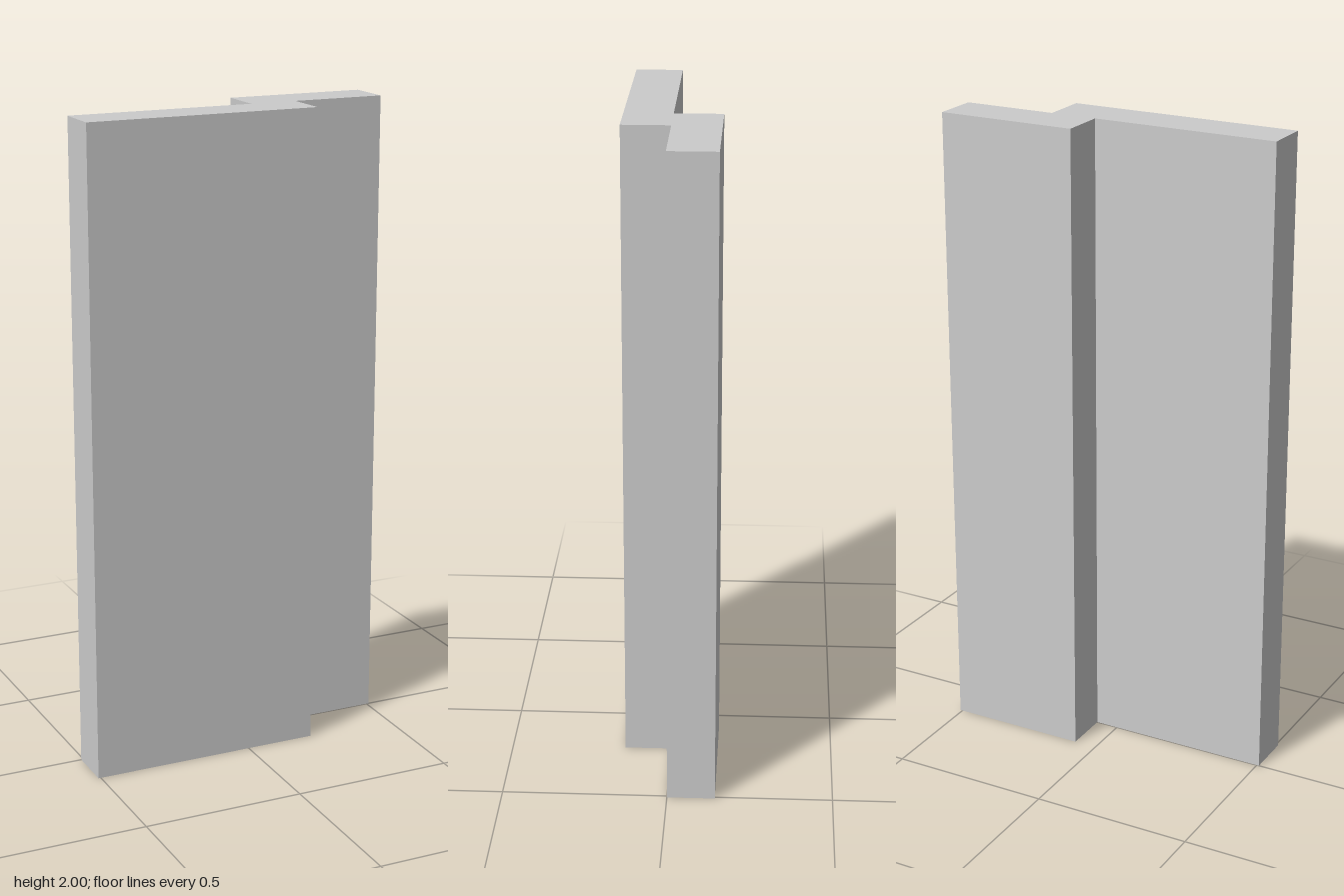
import * as THREE from 'three';

const HEIGHT = 2;
const T = 0.145; // panel thickness, also the module of the plan

export function createModel() {
  const group = new THREE.Group();
  group.name = 'steppedPanel';

  // Stepped plan outline in multiples of the thickness: (x, -z), counter-clockwise
  const outline = [
    [-3.5, -1], [1.5, -1], [1.5, 0], [3.5, 0],
    [3.5, 1], [0.5, 1], [0.5, 0], [-3.5, 0],
  ].map(([x, y]) => new THREE.Vector2(x * T, y * T));

  // Raise the plan to full height
  const geometry = new THREE.ExtrudeGeometry(new THREE.Shape(outline), {
    depth: HEIGHT,
    bevelEnabled: false,
  });
  geometry.rotateX(-Math.PI / 2);

  const panel = new THREE.Mesh(
    geometry,
    new THREE.MeshStandardMaterial({ color: 0xcccccc, flatShading: true })
  );
  panel.name = 'offsetWallPanel';
  group.add(panel);
  return group;
}
